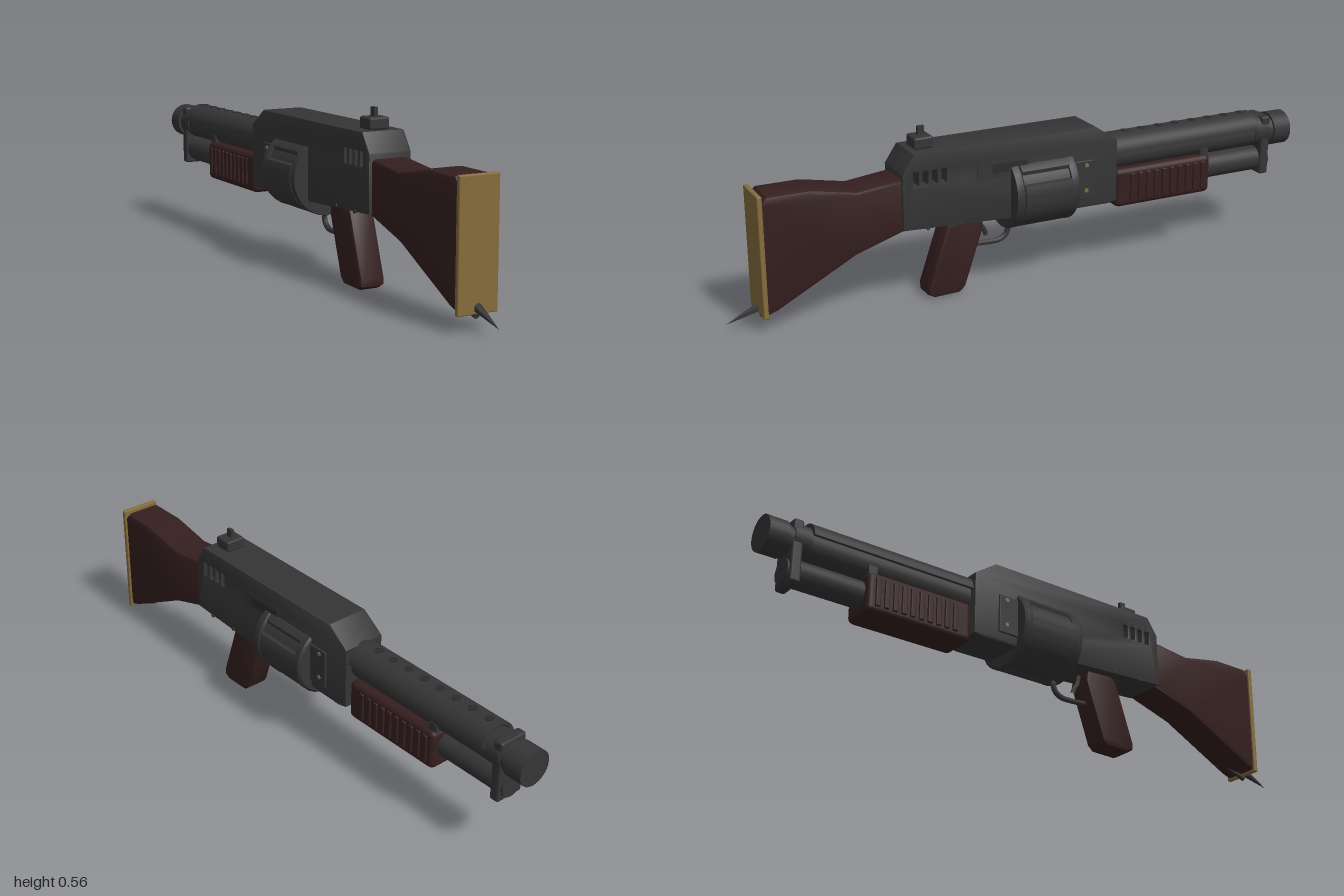
import * as THREE from 'three';
import { toCreasedNormals } from 'three/addons/utils/BufferGeometryUtils.js';
import { RoundedBoxGeometry } from 'three/addons/geometries/RoundedBoxGeometry.js';

export function createModel() {
  const model = new THREE.Group();
  const mat = (name, color) => {
    const m = new THREE.MeshStandardMaterial({ color });
    m.name = name;
    return m;
  };
  const steel = mat('gunmetal', 0x353535);
  const dark = mat('dark steel', 0x2b2b2b);
  const wood = mat('dark red wood', 0x351f1f);
  const brass = mat('brass', 0x846b3c);

  const add = (name, geometry, material, x = 0, y = 0, z = 0) => {
    const mesh = new THREE.Mesh(geometry, material);
    mesh.name = name;
    mesh.position.set(x, y, z);
    model.add(mesh);
    return mesh;
  };
  const box = (name, m, w, h, d, x, y, z, r = 0) =>
    add(name, r ? new RoundedBoxGeometry(w, h, d, 2, r) : new THREE.BoxGeometry(w, h, d), m, x, y, z);
  const toShape = (pts) => new THREE.Shape(pts.map(([a, b]) => new THREE.Vector2(a, b)));

  // Side profile of [z, y] points, extruded across x with softened edges
  const sideExtrude = (pts, width, bevel, holes = []) => {
    const shape = toShape(pts);
    holes.forEach((h) => shape.holes.push(toShape(h)));
    const g = new THREE.ExtrudeGeometry(shape, {
      depth: width - 2 * bevel, bevelEnabled: true, bevelSize: bevel,
      bevelThickness: bevel, bevelOffset: -bevel, bevelSegments: 2,
    });
    g.translate(0, 0, bevel - width / 2).rotateY(-Math.PI / 2);
    return toCreasedNormals(g, 0.6);
  };
  // Cylinder lying along z between two z values
  const rod = (name, r, z0, z1, y) =>
    add(name, new THREE.CylinderGeometry(r, r, Math.abs(z1 - z0), 28).rotateX(Math.PI / 2), steel, 0, y, (z0 + z1) / 2);
  // Short pin pointing sideways
  const pin = (name, m, r, x, y, z, len) =>
    add(name, new THREE.CylinderGeometry(r, r, len, 12).rotateZ(Math.PI / 2), m, x, y, z);

  // Receiver with four vent slots cut right through
  const slots = [0.405, 0.374, 0.343, 0.312].map((z) =>
    [[z - 0.008, 0.393], [z - 0.008, 0.437], [z + 0.008, 0.437], [z + 0.008, 0.393]]);
  add('receiver', sideExtrude([
    [0.45, 0.255], [0.45, 0.435], [0.41, 0.495], [-0.22, 0.495], [-0.3, 0.44],
    [-0.3, 0.235], [-0.27, 0.228], [-0.05, 0.23],
  ], 0.146, 0.005, slots), steel);

  // Ejection port on the left side
  box('ejectionPort', steel, 0.006, 0.058, 0.18, 0.0715, 0.407, 0.11);
  box('portBolt', dark, 0.006, 0.03, 0.12, 0.0725, 0.41, 0.09);

  // Rear sight
  box('sightBase', steel, 0.068, 0.038, 0.064, 0, 0.514, 0.36, 0.007);
  box('sightPost', steel, 0.012, 0.03, 0.022, 0, 0.546, 0.358);

  // Stock, butt plate and spikes
  add('stock', sideExtrude([
    [0.44, 0.25], [0.6, 0.2], [0.855, 0.068], [0.885, 0.058], [0.89, 0.08], [0.89, 0.41],
    [0.87, 0.432], [0.74, 0.432], [0.7, 0.425], [0.59, 0.403], [0.44, 0.42],
  ], 0.126, 0.012), wood);
  box('buttPlate', brass, 0.134, 0.387, 0.016, 0, 0.2435, 0.893, 0.004);
  // Low-poly cone from a [y, z] base to a [y, z] tip
  const spike = (name, base, tip, r) => {
    const a = new THREE.Vector3(0, ...base);
    const dir = new THREE.Vector3(0, ...tip).sub(a);
    const g = new THREE.ConeGeometry(r, dir.length(), 6).toNonIndexed();
    g.computeVertexNormals();
    const mesh = add(name, g, steel);
    mesh.position.copy(a).addScaledVector(dir, 0.5);
    mesh.quaternion.setFromUnitVectors(new THREE.Vector3(0, 1, 0), dir.clone().normalize());
  };
  spike('buttSpike', [0.077, 0.875], [0.03, 1], 0.018);
  spike('spikeRoot', [0.045, 0.895], [0.066, 0.82], 0.011);

  // Pistol grip
  add('grip', sideExtrude([
    [0.29, 0.235], [0.27, 0.25], [0.17, 0.25], [0.165, 0.21], [0.23, 0.02], [0.25, 0.002],
    [0.335, 0], [0.357, 0.012], [0.358, 0.035],
  ], 0.086, 0.012), wood);

  // Trigger guard and trigger
  const tube = (name, pts, r) => add(name, new THREE.TubeGeometry(
    new THREE.CatmullRomCurve3(pts.map(([z, y]) => new THREE.Vector3(0, y, z)), false, 'catmullrom', 0.4), 32, r, 8), steel);
  tube('triggerGuard', [[0.21, 0.15], [0.17, 0.143], [0.1, 0.141], [0.07, 0.155], [0.06, 0.18], [0.07, 0.2], [0.05, 0.235]], 0.009);
  tube('trigger', [[0.165, 0.235], [0.158, 0.205], [0.145, 0.185], [0.14, 0.168]], 0.008);

  // Revolving drum: three flutes between two rounded rims
  const drumY = 0.31;
  const fluted = [];
  for (let i = 0; i < 96; i++) {
    const a = (i / 96) * Math.PI * 2;
    const r = Math.cos(3 * (a - Math.PI / 6)) > 0.87 ? 0.114 : 0.124;
    fluted.push([Math.cos(a) * r, Math.sin(a) * r]);
  }
  const drumGeo = new THREE.ExtrudeGeometry(toShape(fluted), { depth: 0.17, bevelEnabled: false });
  add('drumBody', toCreasedNormals(drumGeo, 0.5), steel, 0, drumY, -0.115);
  const rim = [[0, 0], [0.118, 0], [0.125, 0.007], [0.125, 0.023], [0.123, 0.03], [0, 0.03]]
    .map(([r, y]) => new THREE.Vector2(r, y));
  for (const z of [0.055, -0.14]) {
    add('drumRim', toCreasedNormals(new THREE.LatheGeometry(rim, 28).rotateX(Math.PI / 2).translate(0, 0, z < 0 ? 0.03 : 0).scale(1, 1, 1), 0.6), steel, 0, drumY, z < 0 ? z - 0.03 + 0.03 - 0.03 : z);
  }

  // Side plates with brass screws, and receiver pins
  for (const s of [-1, 1]) {
    box('sidePlate', steel, 0.01, 0.13, 0.075, s * 0.074, 0.325, -0.173, 0.003);
    for (const y of [0.375, 0.29]) pin('plateScrew', brass, 0.007, s * 0.079, y, -0.183, 0.006);
    for (const z of [0.37, 0.26]) pin('receiverPin', steel, 0.006, s * 0.072, 0.253, z, 0.008);
  }

  // Barrel, muzzle and vented heat shield
  rod('barrel', 0.05, -0.25, -0.96, 0.372);
  rod('muzzle', 0.058, -0.935, -1, 0.372);
  rod('muzzleCollar', 0.055, -0.86, -0.915, 0.378);
  const arc = [];
  for (let i = 0; i <= 20; i++) {
    const a = (Math.PI * i) / 20;
    arc.push([Math.cos(a) * 0.063, 0.388 + Math.sin(a) * 0.057]);
  }
  for (let i = 20; i >= 0; i--) {
    const a = (Math.PI * i) / 20;
    arc.push([Math.cos(a) * 0.053, 0.388 + Math.sin(a) * 0.047]);
  }
  const shield = new THREE.ExtrudeGeometry(toShape(arc), { depth: 0.57, bevelEnabled: false });
  add('heatShield', toCreasedNormals(shield, 0.6), steel, 0, 0, -0.86);
  for (let i = 0; i < 8; i++) {
    add('shieldVent', new THREE.CylinderGeometry(0.014, 0.014, 0.006, 16), dark, 0, 0.443, -0.366 - i * 0.0652);
  }

  // Magazine tube and front clamp
  rod('magazineTube', 0.043, -0.28, -0.915, 0.275);
  box('clampPlate', steel, 0.098, 0.205, 0.034, 0, 0.328, -0.903, 0.008);
  rod('magazineCap', 0.04, -0.915, -0.926, 0.272);

  // Ribbed pump forend
  box('forend', wood, 0.126, 0.132, 0.367, 0, 0.267, -0.488, 0.018);
  box('forendStop', steel, 0.1, 0.03, 0.03, 0, 0.342, -0.652);
  for (const s of [-1, 1]) {
    for (let i = 0; i < 10; i++) {
      box('forendRib', wood, 0.018, 0.095, 0.018, s * 0.06, 0.268, -0.365 - i * 0.0305, 0.004);
    }
  }
  return model;
}
